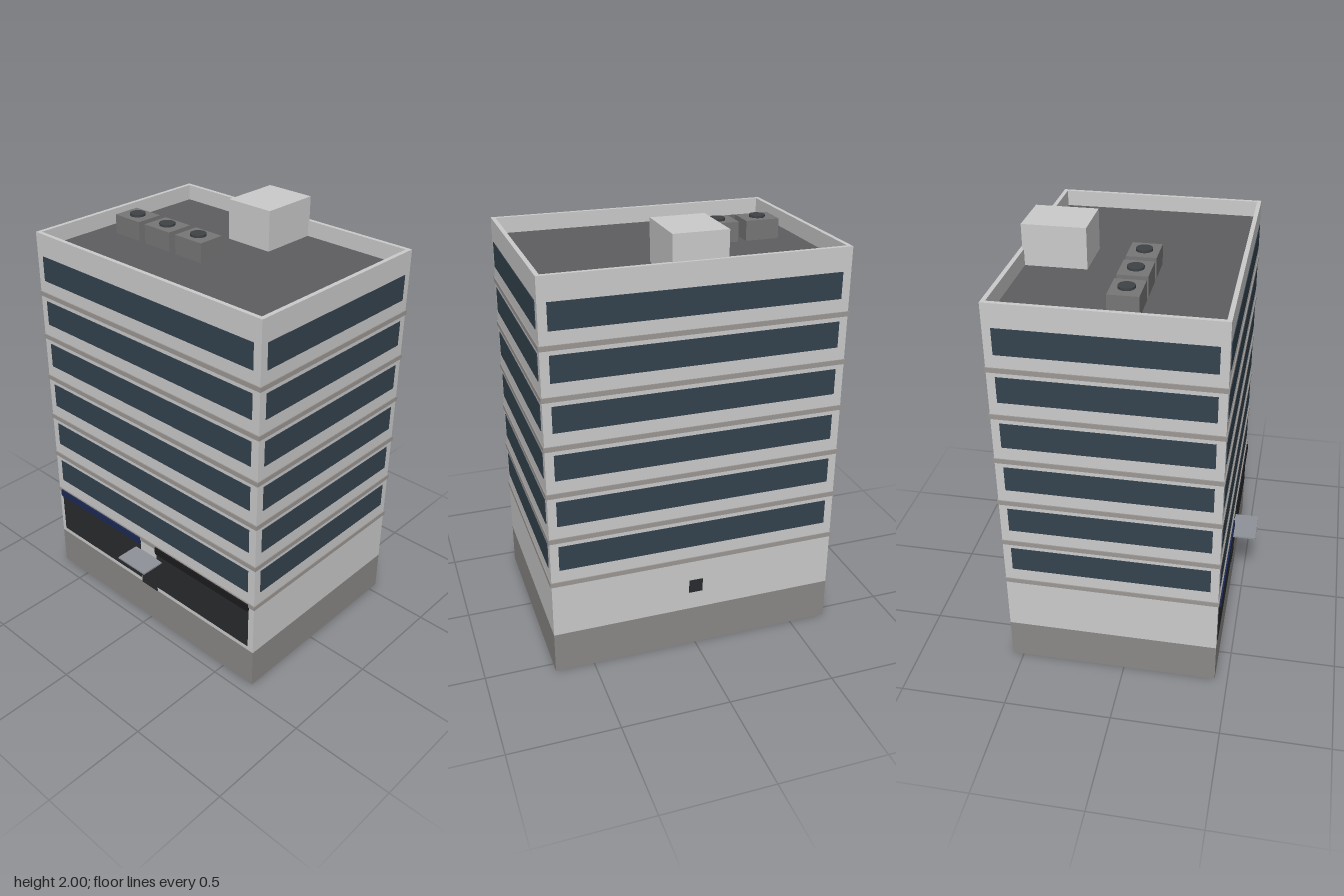
import * as THREE from 'three';

const mat = (color) => new THREE.MeshStandardMaterial({ color });

export function createModel() {
  const root = new THREE.Group();
  root.name = 'officeBuilding';
  const wall = mat(0xc6c3c2), stone = mat(0x8b8987), ledgeGrey = mat(0x9c9895);
  const glass = mat(0x34434e), dark = mat(0x282b2e), deckGrey = mat(0x5e5e60);
  const unitGrey = mat(0x777777), fanGrey = mat(0x404346);

  // Box given by its extents on each axis
  const box = (name, [x0, x1], [y0, y1], [z0, z1], material, parent = root) => {
    const m = new THREE.Mesh(new THREE.BoxGeometry(x1 - x0, y1 - y0, z1 - z0), material);
    m.position.set((x0 + x1) / 2, (y0 + y1) / 2, (z0 + z1) / 2);
    m.name = name;
    parent.add(m);
    return m;
  };

  const X = 0.682, ZB = -0.553, ZF = 0.44; // wall faces
  const deckY = 1.81, topY = 1.885;

  // Plinth, main block, roof deck
  box('plinth', [-X, X], [0, 0.2], [ZB, ZF], stone);
  box('mainBlock', [-X, X], [0.2, deckY - 0.005], [ZB, ZF], wall);
  box('roofDeck', [-X + 0.01, X - 0.01], [deckY - 0.005, deckY], [ZB + 0.01, ZF - 0.01], deckGrey);

  // Parapet ring
  const t = 0.02;
  const ring = new THREE.Shape([[-X, -ZF], [X, -ZF], [X, -ZB], [-X, -ZB]].map((p) => new THREE.Vector2(...p)));
  ring.holes.push(new THREE.Path([[-X + t, -ZF + t], [-X + t, -ZB - t], [X - t, -ZB - t], [X - t, -ZF + t]]
    .map((p) => new THREE.Vector2(...p))));
  const parapetGeometry = new THREE.ExtrudeGeometry(ring, { depth: topY - deckY + 0.005, bevelEnabled: false });
  parapetGeometry.rotateX(-Math.PI / 2);
  const parapet = new THREE.Mesh(parapetGeometry, wall);
  parapet.position.y = deckY - 0.005;
  parapet.name = 'parapet';
  root.add(parapet);

  // Six office floors: a ledge and a window strip on every side
  const e = 0.003;
  for (let i = 0; i < 6; i++) {
    const floor = new THREE.Group();
    floor.name = 'officeFloor' + (i + 1);
    root.add(floor);
    const ledgeY = 0.46 + i * 0.223, y = [0.542 + i * 0.223, 0.662 + i * 0.223];
    box('ledge', [-X - 0.005, X + 0.005], [ledgeY, ledgeY + 0.022], [ZB - 0.005, ZF + 0.005], ledgeGrey, floor);
    box('frontWindow', [-0.643, 0.643], y, [ZF - 0.01, ZF + e], glass, floor);
    box('backWindow', [-0.643, 0.643], y, [ZB - e, ZB + 0.01], glass, floor);
    for (const s of [-1, 1]) {
      const xs = s > 0 ? [X - 0.01, X + e] : [-X - e, -X + 0.01];
      box(s > 0 ? 'leftWindow' : 'rightWindow', xs, y, [-0.515, 0.402], glass, floor);
    }
  }

  // Ground floor: shopfronts with sign boards, entrance, back vent
  const shops = [['right', -0.655, -0.06, 0x1c2a55], ['left', 0.055, 0.65, 0x1c1c1e]];
  for (const [side, x0, x1, color] of shops) {
    box(side + 'Shopfront', [x0, x1], [0.225, 0.44], [ZF - 0.01, ZF + e], dark);
    box(side + 'SignBoard', [x0 - 0.002, x1 + 0.002], [0.44, 0.477], [ZF - 0.01, ZF + 0.012], mat(color));
  }
  box('entranceDoor', [-0.055, 0.052], [0.2, 0.375], [ZF - 0.01, ZF + 0.004], dark);
  box('canopy', [-0.092, 0.09], [0.395, 0.403], [ZF - 0.01, 0.56], mat(0x8f9299));
  box('backVent', [-0.033, 0.033], [0.29, 0.356], [ZB - e, ZB + 0.01], dark);

  // Roof: stair house and three cooling units
  box('stairHouse', [-0.124, 0.122], [deckY, 2], [-0.54, -0.25], mat(0xcccccc));
  for (let i = 0; i < 3; i++) {
    const x = -0.479 + i * 0.198;
    const unit = new THREE.Group();
    unit.name = 'coolingUnit' + (i + 1);
    root.add(unit);
    box('casing', [x - 0.08, x + 0.08], [deckY, 1.902], [-0.071, 0.063], unitGrey, unit);
    const fan = new THREE.Mesh(new THREE.CylinderGeometry(0.037, 0.037, 0.012, 20), fanGrey);
    fan.position.set(x, 1.907, -0.004);
    fan.name = 'fan';
    unit.add(fan);
  }
  return root;
}
